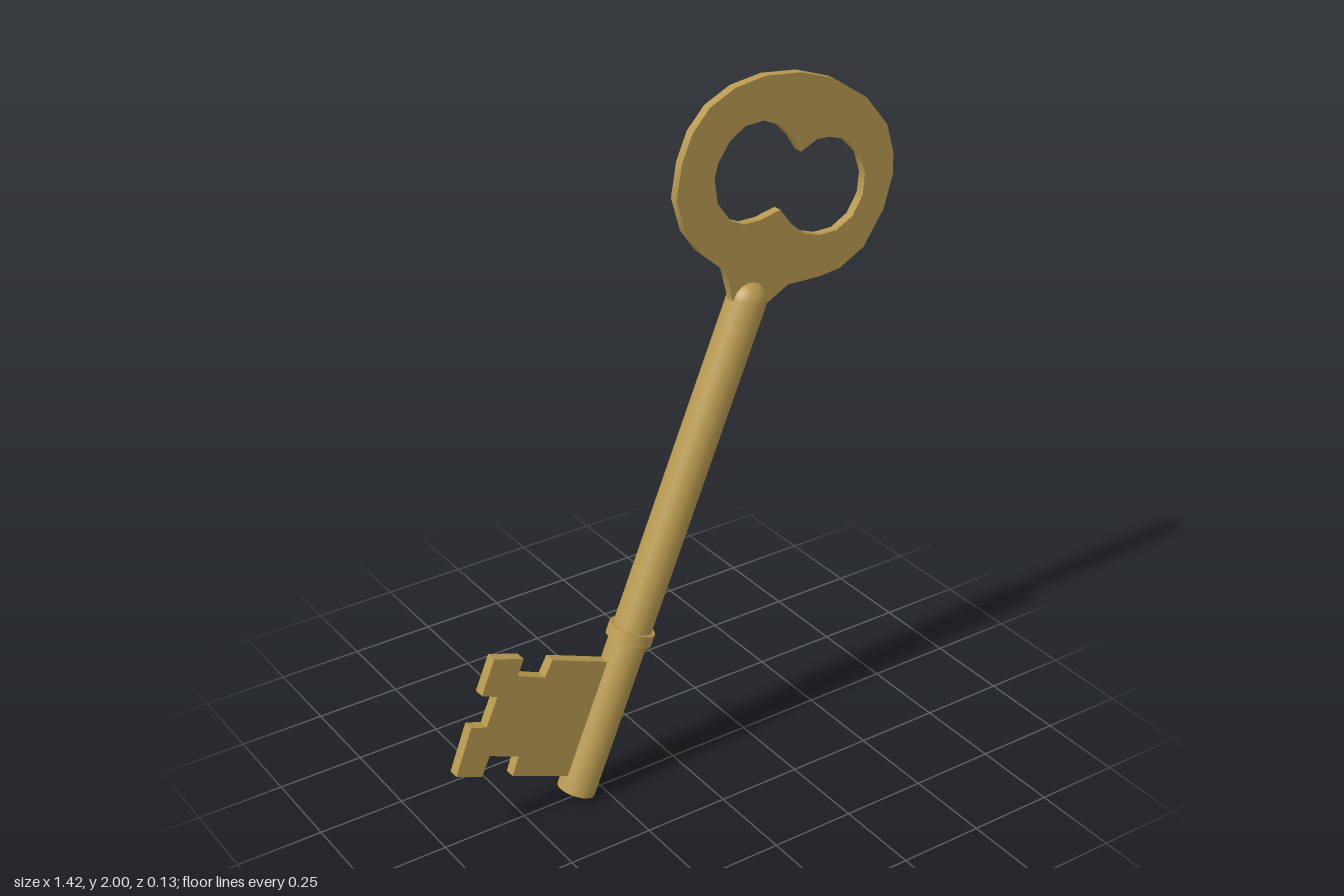
import * as THREE from 'three';
import { toCreasedNormals } from 'three/addons/utils/BufferGeometryUtils.js';

const brass = new THREE.MeshStandardMaterial({ color: 0xb8994f });
brass.name = 'brass';

const points = (list) => list.map(([x, y]) => new THREE.Vector2(x, y));

// Flat plate cut from an outline, from depth z0 to z1
function plate(name, outline, holes, z0, z1) {
  const shape = new THREE.Shape(points(outline));
  holes.forEach((h) => shape.holes.push(new THREE.Path(points(h))));
  const geo = new THREE.ExtrudeGeometry(shape, { depth: z1 - z0, bevelEnabled: false });
  geo.translate(0, 0, z0);
  const mesh = new THREE.Mesh(toCreasedNormals(geo, 0.6), brass);
  mesh.name = name;
  return mesh;
}

// Solid of revolution with crisp profile corners
function turned(name, profile) {
  const geo = new THREE.LatheGeometry(points(profile), 24);
  const mesh = new THREE.Mesh(toCreasedNormals(geo, 0.6), brass);
  mesh.name = name;
  return mesh;
}

export function createModel() {
  const key = new THREE.Group();
  key.name = 'key';

  // Tilted stem: shaft with a domed top, and its collar
  const stem = new THREE.Group();
  stem.name = 'stem';
  stem.position.set(-0.33, 0.021, 0);
  stem.rotation.z = -0.393;
  const r = 0.055, length = 1.475;
  const shaft = [[0, 0], [r, 0], [r, length]];
  for (let i = 1; i <= 6; i++) {
    const a = (i / 6) * Math.PI / 2;
    shaft.push([i === 6 ? 0 : r * Math.cos(a), length + r * Math.sin(a)]);
  }
  stem.add(turned('shaft', shaft));
  stem.add(turned('collar', [[0.05, 0.472], [0.066, 0.472], [0.066, 0.508], [0.05, 0.508]]));
  key.add(stem);

  // Looped handle with a figure-eight opening
  const outline = [
    [0.185, 1.385], [0.175, 1.425], [0.157, 1.49], [0.077, 1.56], [0.03, 1.627], [0.002, 1.722],
    [0.018, 1.818], [0.05, 1.892], [0.103, 1.95], [0.182, 1.987], [0.278, 2],
    [0.389, 1.987], [0.495, 1.95], [0.606, 1.876], [0.68, 1.786], [0.706, 1.701],
    [0.708, 1.638], [0.68, 1.542], [0.616, 1.447], [0.537, 1.405], [0.468, 1.397],
    [0.362, 1.4], [0.272, 1.352],
  ];
  const opening = [
    [0.119, 1.754], [0.13, 1.685], [0.172, 1.627], [0.214, 1.608], [0.267, 1.608],
    [0.331, 1.622], [0.368, 1.574], [0.41, 1.537], [0.463, 1.519], [0.521, 1.519],
    [0.574, 1.548], [0.606, 1.601], [0.611, 1.659], [0.59, 1.722], [0.537, 1.775],
    [0.489, 1.791], [0.447, 1.794], [0.394, 1.77], [0.362, 1.818], [0.32, 1.86],
    [0.272, 1.881], [0.214, 1.878], [0.167, 1.849], [0.13, 1.796],
  ];
  key.add(plate('bow', outline, [opening], -0.013, 0.013));

  // Notched bit, rooted inside the shaft
  const bit = [
    [-0.18, 0.394], [-0.23, 0.415], [-0.4, 0.484], [-0.426, 0.437], [-0.51, 0.474], [-0.489, 0.521],
    [-0.579, 0.553], [-0.621, 0.452], [-0.574, 0.431], [-0.611, 0.347], [-0.658, 0.363],
    [-0.71, 0.225], [-0.632, 0.193], [-0.606, 0.251], [-0.516, 0.214], [-0.537, 0.156],
    [-0.368, 0.087], [-0.312, 0.064],
  ];
  key.add(plate('bit', bit, [], -0.022, 0.01));

  return key;
}
